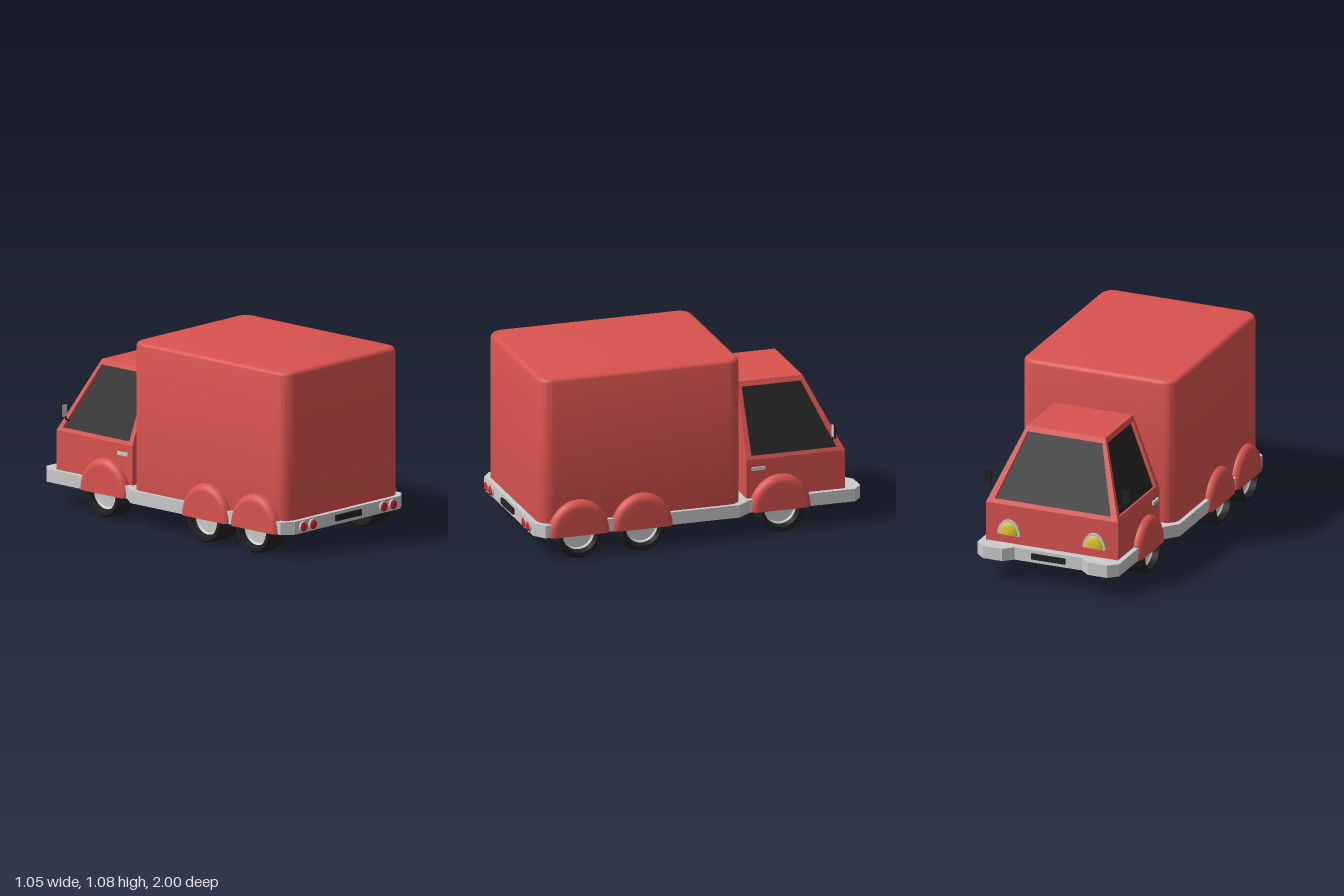
import * as THREE from 'three';
import { toCreasedNormals } from 'three/addons/utils/BufferGeometryUtils.js';

const mat = (color, side = THREE.FrontSide) => new THREE.MeshStandardMaterial({ color, side });
const V = (x, y, z) => new THREE.Vector3(x, y, z);

export function createModel() {
  const truck = new THREE.Group();
  truck.name = 'boxTruck';
  const red = mat(0xd9534f), redThin = mat(0xd9534f, THREE.DoubleSide), grey = mat(0xcccccc);
  const black = mat(0x222222), glass = mat(0x262626), tailRed = mat(0xd0202c);
  const yellow = mat(0xd8c030, THREE.DoubleSide);

  const add = (name, geo, material, x = 0, y = 0, z = 0) => {
    const m = new THREE.Mesh(geo, material);
    m.name = name;
    m.position.set(x, y, z);
    truck.add(m);
    return m;
  };
  const box = (name, material, w, h, d, x, y, z) =>
    add(name, new THREE.BoxGeometry(w, h, d), material, x, y, z);

  // Chassis plate, with its front bumper horns, from half an outline of x, z
  const half = [[0.21, -0.95], [0.265, -1], [0.385, -1], [0.44, -0.95], [0.44, -0.32],
    [0.505, -0.24], [0.505, 0.93], [0.44, 0.98]];
  const outline = [...half, ...half.map(([x, z]) => [-x, z]).reverse()];
  const plate = new THREE.ExtrudeGeometry(
    new THREE.Shape(outline.map(([x, z]) => new THREE.Vector2(x, z))),
    { depth: 0.075, bevelEnabled: false });
  plate.rotateX(Math.PI / 2);
  add('chassis', plate, grey, 0, 0.21, 0);

  // Cargo box: rounded rectangle with rounded top edges
  const w = 0.48, l = 0.605, r = 0.08, b = 0.03;
  const s = new THREE.Shape();
  s.absarc(w - r, l - r, r, 0, Math.PI / 2);
  s.absarc(r - w, l - r, r, Math.PI / 2, Math.PI);
  s.absarc(r - w, r - l, r, Math.PI, Math.PI * 1.5);
  s.absarc(w - r, r - l, r, Math.PI * 1.5, Math.PI * 2);
  const cargo = new THREE.ExtrudeGeometry(s, { depth: 0.845, curveSegments: 8,
    bevelThickness: b, bevelSize: b, bevelOffset: -b, bevelSegments: 5 });
  cargo.rotateX(Math.PI / 2);
  add('cargoBox', toCreasedNormals(cargo, 0.6), red, 0, 1.075 - b, 0.345);

  // Cab: square lower body, tapered upper part with recessed windows
  box('cabBody', red, 0.82, 0.24, 0.59, 0, 0.32, -0.605);
  const quads = (name, material, list) => {
    const p = list.flatMap(([a, c, d, e]) => [a, c, d, a, d, e]).flatMap(v => v.toArray());
    const g = new THREE.BufferGeometry();
    g.setAttribute('position', new THREE.Float32BufferAttribute(p, 3));
    g.computeVertexNormals();
    return add(name, g, material);
  };
  // Corners run counter-clockwise from lower left, seen from outside
  const windowPanel = (name, c, u0, u1, v0, v1) => {
    const at = (u, v) => c[0].clone().lerp(c[1], u).lerp(c[3].clone().lerp(c[2], u), v);
    const inner = [at(u0, v0), at(u1, v0), at(u1, v1), at(u0, v1)];
    const n = c[1].clone().sub(c[0]).cross(c[3].clone().sub(c[0])).normalize();
    const deep = inner.map(p => p.clone().addScaledVector(n, -0.02));
    const frame = [];
    for (let i = 0; i < 4; i++) {
      const j = (i + 1) % 4;
      frame.push([c[i], c[j], inner[j], inner[i]], [inner[i], inner[j], deep[j], deep[i]]);
    }
    quads(name + 'Frame', red, frame);
    quads(name + 'Glass', glass, [deep]);
  };
  const B = 0.41, T = 0.245, y0 = 0.44, y1 = 0.86, zf = -0.9, zr = -0.7, zb = -0.31;
  windowPanel('windshield',
    [V(B, y0, zf), V(-B, y0, zf), V(-T, y1, zr), V(T, y1, zr)], 0.05, 0.95, 0.06, 0.93);
  windowPanel('leftWindow',
    [V(B, y0, zb), V(B, y0, zf), V(T, y1, zr), V(T, y1, zb)], 0.055, 0.945, 0.05, 0.93);
  windowPanel('rightWindow',
    [V(-B, y0, zf), V(-B, y0, zb), V(-T, y1, zb), V(-T, y1, zr)], 0.055, 0.945, 0.05, 0.93);
  quads('cabRoofAndBack', red, [
    [V(-T, y1, zb), V(T, y1, zb), V(T, y1, zr), V(-T, y1, zr)],
    [V(-B, y0, zb), V(B, y0, zb), V(T, y1, zb), V(-T, y1, zb)]]);

  // Wheels and fenders are turned about an axis pointing outward along x
  const outward = new THREE.Matrix4().makeBasis(V(0, 0, 1), V(1, 0, 0), V(0, 1, 0));
  const turn = (pts, start = 0, angle = Math.PI * 2) => new THREE.LatheGeometry(
    pts.map(([x, y]) => new THREE.Vector2(x, y)), 36, start, angle).applyMatrix4(outward);
  const tyre = toCreasedNormals(turn([[0, 0], [0.125, 0], [0.137, 0.015], [0.137, 0.14],
    [0.125, 0.155], [0.105, 0.155], [0.095, 0.12]]), 0.7);
  const hub = toCreasedNormals(turn([[0.1, 0.125], [0.085, 0.11], [0, 0.11]]), 0.4);
  const arc = [[0.185, 0]];
  for (let i = 0; i <= 6; i++) {
    const t = i / 6 * Math.PI / 2;
    arc.push([0.145 + 0.04 * Math.cos(t), 0.16 + 0.04 * Math.sin(t)]);
  }
  arc.push([0.1, 0.2], [0, 0.2]);
  const fender = turn(arc, -Math.PI / 2, Math.PI);
  fender.scale(1, 0.205 / 0.185, 1);

  for (const side of [1, -1]) {
    const label = side > 0 ? 'left' : 'right';
    const turnY = side > 0 ? 0 : Math.PI;
    for (const [axle, z, x] of [['Rear', 0.725, 0.525], ['Middle', 0.345, 0.525], ['Front', -0.508, 0.457]]) {
      add(label + axle + 'Tyre', tyre, black, side * (x - 0.16), 0.137, z).rotation.y = turnY;
      add(label + axle + 'Hub', hub, grey, side * (x - 0.16), 0.137, z).rotation.y = turnY;
      add(label + axle + 'Fender', fender, redThin, side * (x - 0.2), 0.135, z).rotation.y = turnY;
    }

    // Door handle and wing mirror on a bent arm
    box(label + 'DoorHandle', grey, 0.015, 0.02, 0.08, side * 0.413, 0.385, -0.38);
    const path = new THREE.CatmullRomCurve3([V(side * 0.375, 0.5, -0.835),
      V(side * 0.405, 0.515, -0.83), V(side * 0.425, 0.56, -0.825)]);
    add(label + 'MirrorArm', new THREE.TubeGeometry(path, 8, 0.005, 6), black);
    box(label + 'MirrorShell', black, 0.045, 0.08, 0.01, side * 0.43, 0.57, -0.826);
    box(label + 'MirrorFace', grey, 0.039, 0.072, 0.003, side * 0.43, 0.57, -0.82);

    // Arched headlight
    const arch = new THREE.Shape();
    arch.absarc(0, 0, 0.07, 0, Math.PI);
    const rim = new THREE.ExtrudeGeometry(arch, { depth: 0.014, bevelEnabled: false, curveSegments: 20 });
    add(label + 'HeadlightRim', toCreasedNormals(rim, 0.5), grey, side * 0.265, 0.262, -0.912).scale.y = 1.32;
    const lamp = new THREE.SphereGeometry(0.058, 20, 8, 0, Math.PI * 2, 0, Math.PI / 2);
    add(label + 'Headlight', lamp, yellow, side * 0.265, 0.267, -0.905).scale.set(1, 1.32, 0.4);

    // Paired tail lights
    for (const x of [0.295, 0.375]) {
      const ring = new THREE.CylinderGeometry(0.032, 0.032, 0.014, 20).rotateX(Math.PI / 2);
      add(label + 'TailLightRim', ring, grey, side * x, 0.172, 0.983);
      const dome = new THREE.SphereGeometry(0.028, 16, 10);
      add(label + 'TailLight', dome, tailRed, side * x, 0.172, 0.988).scale.z = 0.43;
    }
  }

  // Blank plates
  box('frontPlate', black, 0.21, 0.035, 0.012, 0, 0.174, -0.954);
  box('rearPlate', black, 0.21, 0.035, 0.016, 0, 0.174, 0.985);
  return truck;
}
